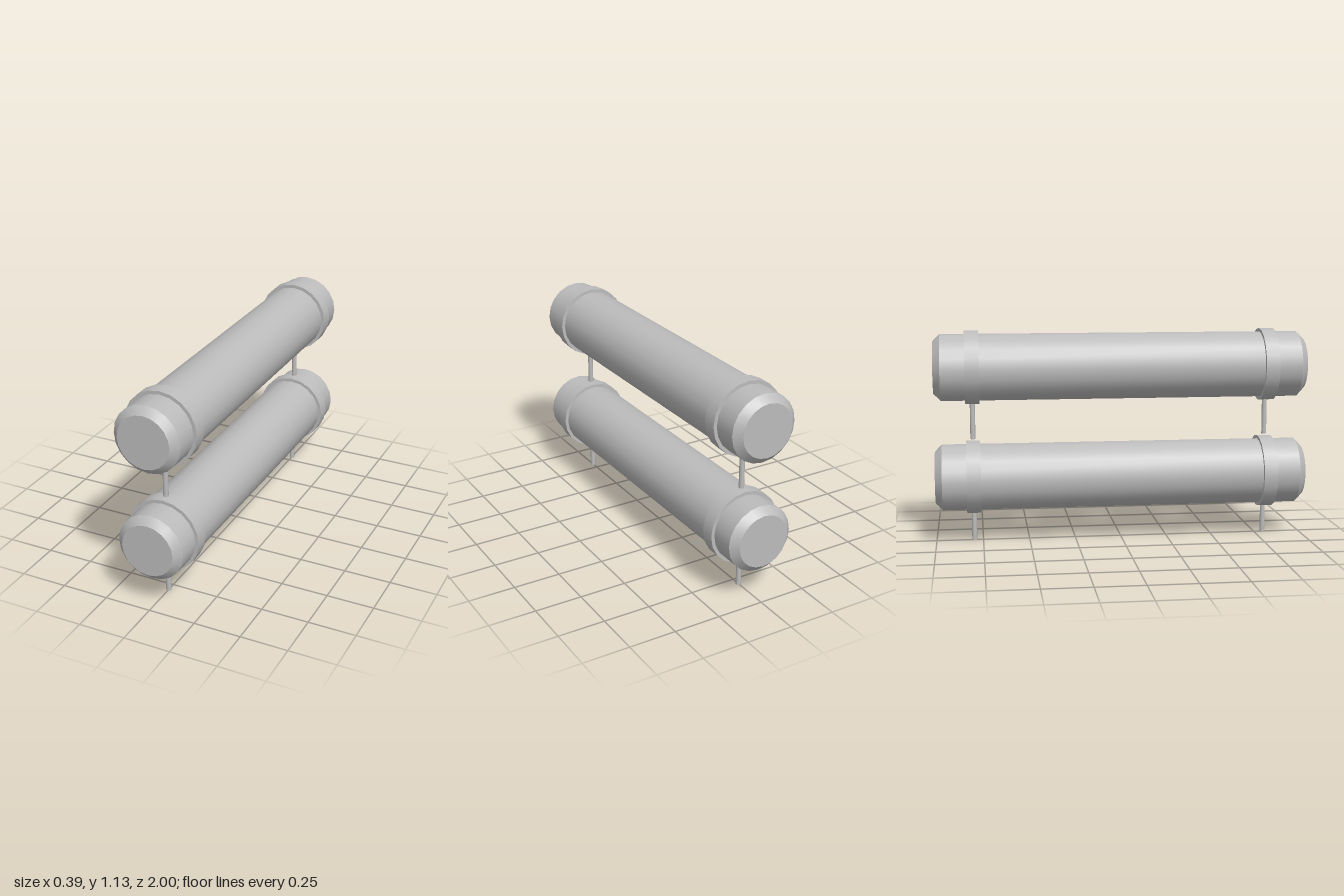
import * as THREE from 'three';
import { toCreasedNormals } from 'three/addons/utils/BufferGeometryUtils.js';

const SIDES = 20;
const BODY_R = 0.178;
const END_R = 0.14;
const BAND_R = 0.196;
const BAND_Z = 0.797;

export function createModel() {
  const model = new THREE.Group();
  const grey = new THREE.MeshStandardMaterial({ color: 0xbcbcbc });
  grey.name = 'grey metal';

  const add = (parent, geometry, name, y = 0, z = 0) => {
    const mesh = new THREE.Mesh(geometry, grey);
    mesh.name = name;
    mesh.position.set(0, y, z);
    parent.add(mesh);
  };

  // Tank profile turned about its long axis, with chamfered ends
  const profile = [[0, -1], [END_R, -1], [BODY_R, -0.963], [BODY_R, 0.963], [END_R, 1], [0, 1]]
    .map(([r, l]) => new THREE.Vector2(r, l));
  const tank = toCreasedNormals(new THREE.LatheGeometry(profile, SIDES).rotateX(Math.PI / 2), 0.6);

  // Clamp band around the tank, and the thin post beneath it
  const band = new THREE.CylinderGeometry(BAND_R, BAND_R, 0.075, SIDES).rotateX(Math.PI / 2);
  const post = new THREE.CylinderGeometry(0.0137, 0.0137, 0.17, 12);

  // Two identical units stacked one above the other
  [['lower', 0.348], ['upper', 0.938]].forEach(([level, y]) => {
    const unit = new THREE.Group();
    unit.name = level + 'Unit';
    unit.position.y = y;
    add(unit, tank, level + 'Tank');
    for (const [end, s] of [['Front', 1], ['Back', -1]]) {
      add(unit, band, level + end + 'Band', 0, s * BAND_Z);
      const supportPost = post.clone().scale(1, 0.21 / 0.17, 1);
      add(unit, supportPost, level + end + 'Post', (level === 'lower' ? -0.348 : -0.385) + 0.105, s * BAND_Z);
    }
    model.add(unit);
  });
  return model;
}
